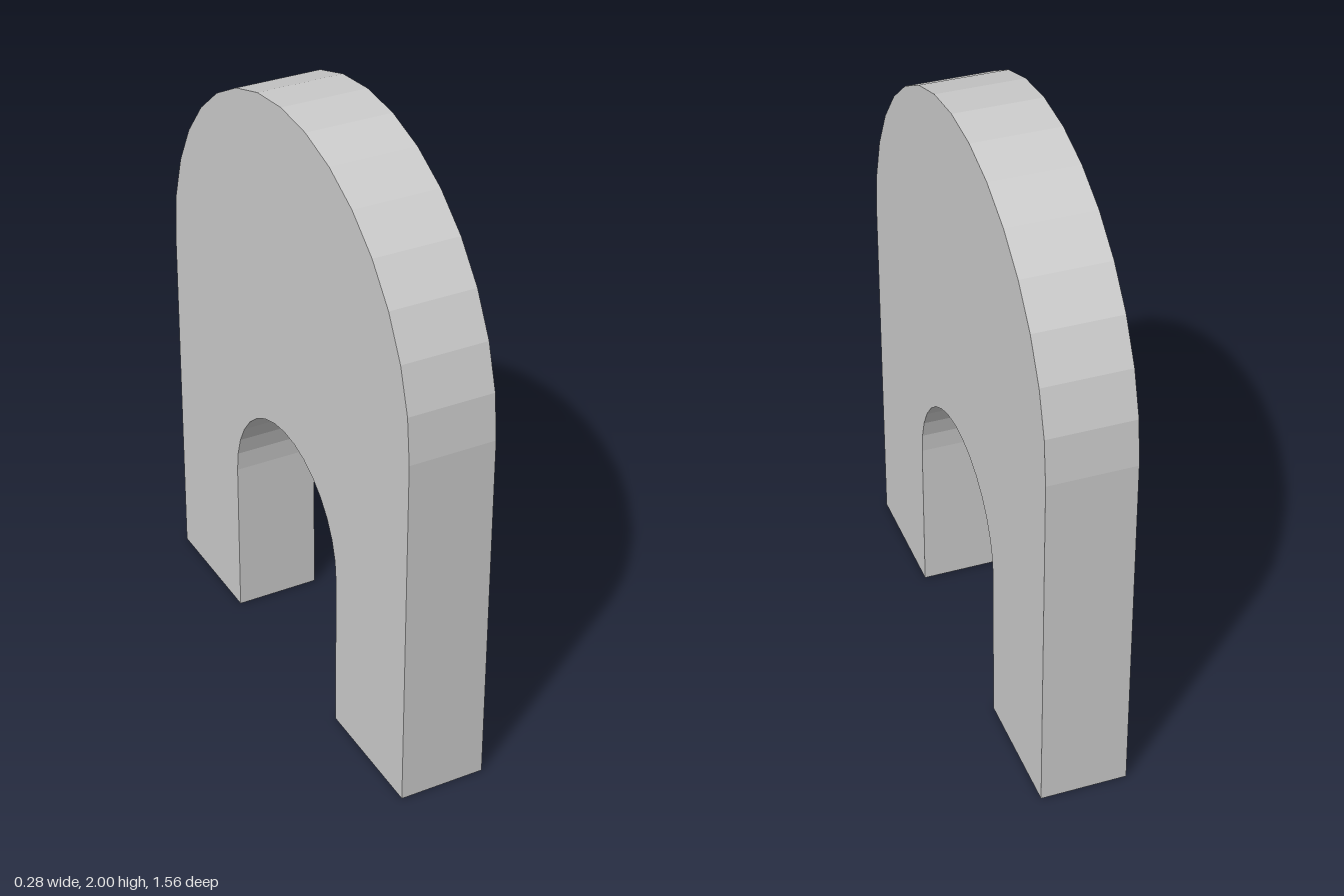
import * as THREE from 'three';

const OUTER = 0.778, INNER = 0.345, THICKNESS = 0.284, SEGMENTS = 16;
const OUTER_SPRING = 2 - OUTER, INNER_SPRING = 0.548;

// Points of a half circle from right (+) to left (-)
function halfCircle(radius, centreY) {
  return Array.from({ length: SEGMENTS + 1 }, (_, i) => {
    const a = (Math.PI * i) / SEGMENTS;
    return new THREE.Vector2(radius * Math.cos(a), centreY + radius * Math.sin(a));
  });
}

export function createModel() {
  const group = new THREE.Group();
  group.name = 'archBlock';

  // Outline: outer curve, left foot, inner curve back, right foot
  const outline = new THREE.Shape([
    new THREE.Vector2(OUTER, 0),
    ...halfCircle(OUTER, OUTER_SPRING),
    new THREE.Vector2(-OUTER, 0),
    new THREE.Vector2(-INNER, 0),
    ...halfCircle(INNER, INNER_SPRING).reverse(),
    new THREE.Vector2(INNER, 0),
  ]);

  // Extrude the slab, then turn its broad faces to the sides
  const geometry = new THREE.ExtrudeGeometry(outline, { depth: THICKNESS, bevelEnabled: false });
  geometry.translate(0, 0, -THICKNESS / 2);
  geometry.rotateY(Math.PI / 2);

  const material = new THREE.MeshStandardMaterial({ color: 0xcccccc, flatShading: true });
  const arch = new THREE.Mesh(geometry, material);
  arch.name = 'arch';
  group.add(arch);
  return group;
}
